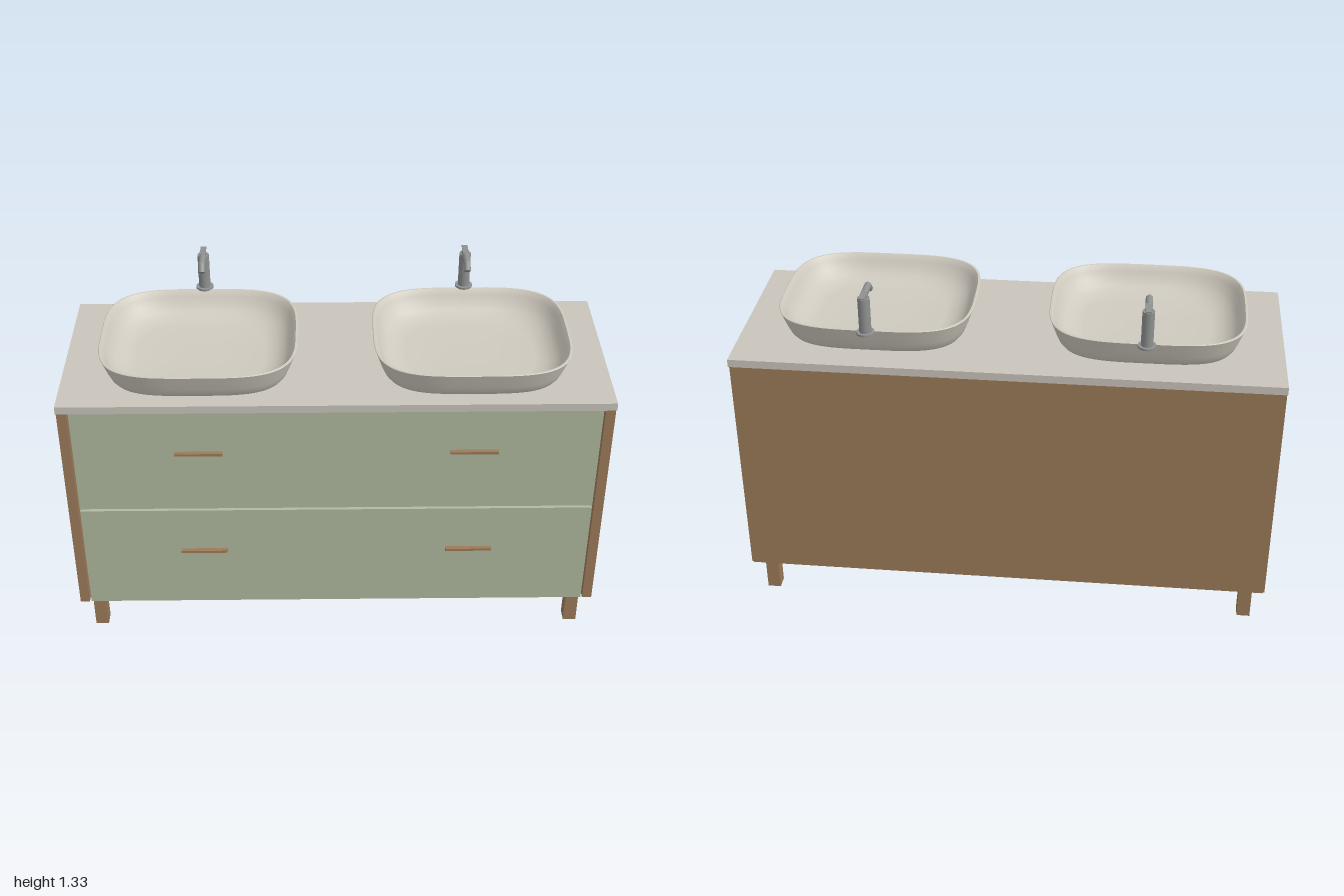
import * as THREE from 'three';
import { toCreasedNormals } from 'three/addons/utils/BufferGeometryUtils.js';

function material(name, color) {
  const m = new THREE.MeshStandardMaterial({ color });
  m.name = name;
  return m;
}

// Box given by its limits on each axis
function slab(name, mat, [x0, x1], [y0, y1], [z0, z1]) {
  const mesh = new THREE.Mesh(new THREE.BoxGeometry(x1 - x0, y1 - y0, z1 - z0), mat);
  mesh.position.set((x0 + x1) / 2, (y0 + y1) / 2, (z0 + z1) / 2);
  mesh.name = name;
  return mesh;
}

// Round bar between two points
function rod(name, mat, from, to, r) {
  const a = new THREE.Vector3(...from), b = new THREE.Vector3(...to);
  const dir = b.clone().sub(a);
  const mesh = new THREE.Mesh(new THREE.CylinderGeometry(r, r, dir.length(), 24), mat);
  mesh.position.copy(a).add(b).multiplyScalar(0.5);
  mesh.quaternion.setFromUnitVectors(new THREE.Vector3(0, 1, 0), dir.normalize());
  mesh.name = name;
  return mesh;
}

// Rounded-square bowl: one ring per [inset, height] step, outside up, then inside down
function basinGeometry(halfX, halfZ) {
  const profile = [
    [0.3, 0], [0.06, 0], [0.042, 0.006], [0.032, 0.02], [0.022, 0.045], [0.011, 0.077],
    [0.001, 0.106], [0.003, 0.108], [0.009, 0.108], [0.011, 0.106], [0.022, 0.085],
    [0.036, 0.06], [0.055, 0.039], [0.08, 0.024], [0.105, 0.016], [0.125, 0.013], [0.3, 0.013],
  ];
  const n = 80, positions = [], index = [];
  const bend = (v) => Math.sign(v) * Math.pow(Math.abs(v), 2 / 3.6);
  for (const [inset, y] of profile) {
    for (let j = 0; j < n; j++) {
      const t = (j / n) * Math.PI * 2;
      positions.push(bend(Math.cos(t)) * (halfX - inset), y, bend(Math.sin(t)) * (halfZ - inset));
    }
  }
  for (let i = 0; i < profile.length - 1; i++) {
    for (let j = 0; j < n; j++) {
      const a = i * n + j, b = i * n + ((j + 1) % n);
      index.push(a, a + n, b, b, a + n, b + n);
    }
  }
  // Close the underside and the floor
  const last = (profile.length - 1) * n;
  for (let j = 1; j < n - 1; j++) {
    index.push(0, j, j + 1);
    index.push(last, last + j + 1, last + j);
  }
  const g = new THREE.BufferGeometry();
  g.setAttribute('position', new THREE.Float32BufferAttribute(positions, 3));
  g.setIndex(index);
  return toCreasedNormals(g, 0.7);
}

function createFaucet(metal) {
  const faucet = new THREE.Group();
  faucet.name = 'faucet';
  const z = -0.313;
  faucet.add(
    rod('faucetFlange', metal, [0, 1.172, z], [0, 1.18, z], 0.033),
    rod('faucetBody', metal, [0, 1.18, z], [0, 1.314, z], 0.022),
    rod('leverStem', metal, [0, 1.314, z], [0, 1.324, z], 0.014),
    slab('lever', metal, [-0.011, 0.011], [1.324, 1.329], [-0.35, -0.285]),
    rod('spoutRoot', metal, [0, 1.29, z + 0.01], [0, 1.318, -0.282], 0.012),
    rod('spout', metal, [0, 1.318, -0.285], [0, 1.318, -0.226], 0.013),
    rod('spoutTip', metal, [0, 1.318, -0.226], [0, 1.296, -0.204], 0.013),
  );
  // Round joints of the spout
  for (const jz of [-0.284, -0.226]) {
    const joint = new THREE.Mesh(new THREE.SphereGeometry(0.013, 24, 12), metal);
    joint.position.set(0, 1.318, jz);
    joint.name = 'spoutJoint';
    faucet.add(joint);
  }
  return faucet;
}

export function createModel() {
  const wood = material('wood', 0x9b7a59);
  const green = material('sage green', 0xafb99f);
  const stone = material('stone', 0xc9c3bb);
  const ceramic = material('ceramic', 0xcfcabf);
  const metal = material('brushed metal', 0x8f9191);

  const model = new THREE.Group();
  model.name = 'doubleVanity';

  // Cabinet shell, open underneath
  model.add(
    slab('backPanel', wood, [-0.99, 0.99], [0.15, 1.037], [-0.369, -0.362]),
    slab('countertop', stone, [-1, 1], [1.037, 1.067], [-0.371, 0.354]),
  );
  for (const s of [-1, 1]) {
    const x = s < 0 ? [-0.998, -0.962] : [0.962, 0.998];
    model.add(slab('sidePanel', wood, x, [0.148, 1.037], [-0.362, 0.348]));
  }

  // Drawer fronts, each with two bar handles
  const drawers = [[0.152, 0.597, 0.413], [0.607, 1.035, 0.866]];
  for (const [y0, y1, handleY] of drawers) {
    model.add(slab('drawerFront', green, [-0.955, 0.955], [y0, y1], [0.328, 0.351]));
    for (const x of [-0.5, 0.5]) {
      model.add(slab('handle', wood, [x - 0.087, x + 0.087],
        [handleY - 0.005, handleY + 0.005], [0.355, 0.371]));
    }
  }

  // Legs
  for (const x of [-0.93, 0.93]) {
    for (const z of [-0.3, 0.286]) {
      model.add(slab('leg', wood, [x - 0.025, x + 0.025], [0, 0.148], [z - 0.026, z + 0.026]));
    }
  }

  // Basins and faucets
  const bowl = basinGeometry(0.363, 0.317);
  for (const x of [-0.5, 0.5]) {
    const basin = new THREE.Mesh(bowl, ceramic);
    basin.name = 'basin';
    basin.position.set(x, 1.066, 0.018);
    const faucet = createFaucet(metal);
    faucet.position.x = x;
    model.add(basin, faucet);
  }
  return model;
}
